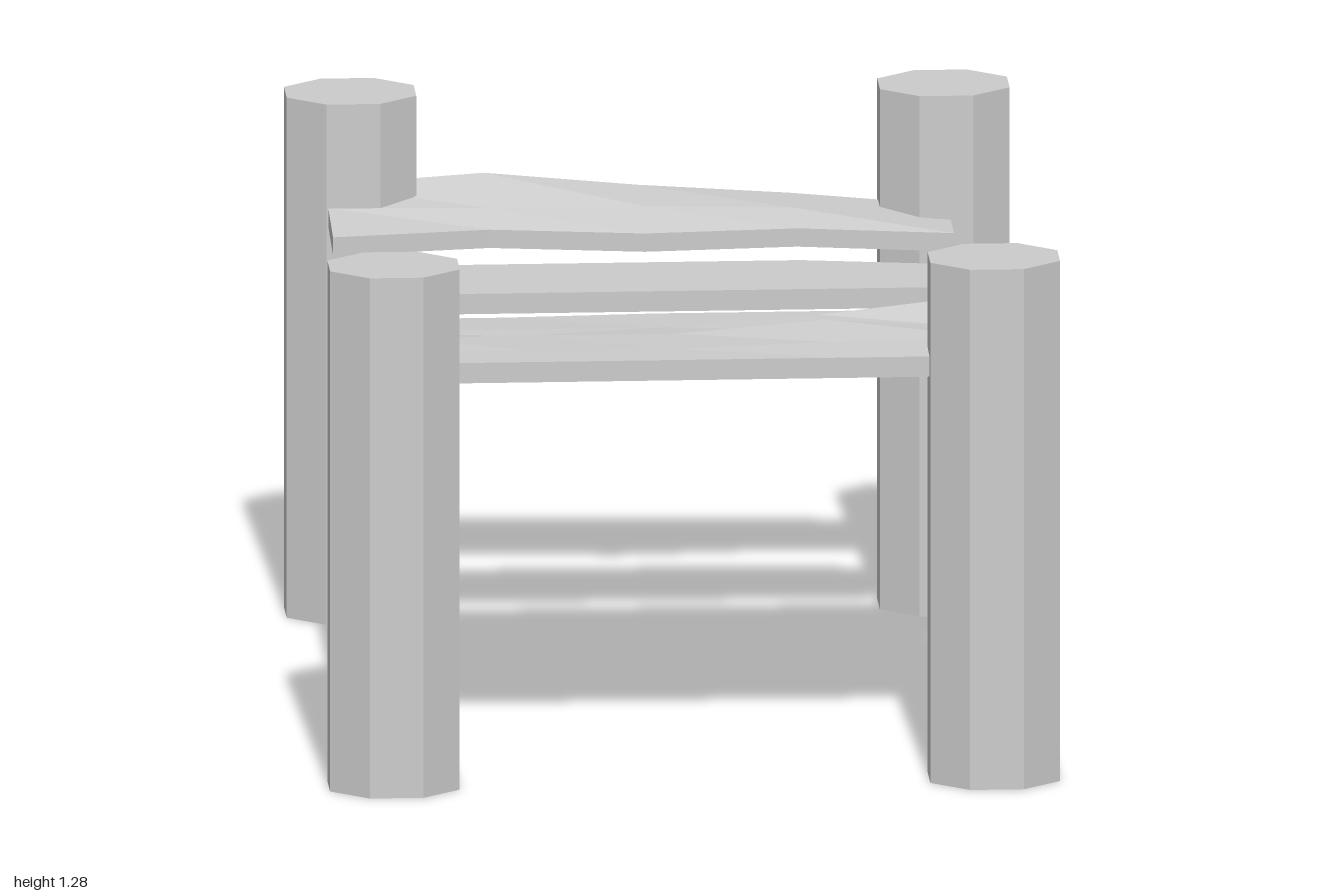
import * as THREE from 'three';

const material = new THREE.MeshStandardMaterial({ color: 0xcccccc, flatShading: true });

// A warped board: three rows (back, middle, front), each with five stations along x.
// row = [left x, right x, z values, top y values]; inset pulls in the top of the right end.
function makePlank(name, rows, thickness, inset = [0, 0, 0]) {
  const n = 5, positions = [], index = [];
  for (const under of [0, 1]) {
    rows.forEach(([x0, x1, z, y], r) => {
      const xs = [x0, -0.4, -0.03, 0.335, x1 - (under ? 0 : inset[r])];
      xs.forEach((x, i) => positions.push(x, y[i] - under * thickness, z[i]));
    });
  }
  const at = (under, r, i) => under * rows.length * n + r * n + i;
  const quad = (a, b, c, d) => index.push(a, b, c, a, c, d);
  const last = rows.length - 1;
  for (let i = 0; i < n - 1; i++) {
    for (let r = 0; r < last; r++) {
      quad(at(0, r, i), at(0, r + 1, i), at(0, r + 1, i + 1), at(0, r, i + 1));
      quad(at(1, r, i), at(1, r, i + 1), at(1, r + 1, i + 1), at(1, r + 1, i));
    }
    // long edges
    quad(at(1, last, i), at(1, last, i + 1), at(0, last, i + 1), at(0, last, i));
    quad(at(1, 0, i + 1), at(1, 0, i), at(0, 0, i), at(0, 0, i + 1));
  }
  // end faces
  for (let r = 0; r < last; r++) {
    quad(at(1, r, 0), at(1, r + 1, 0), at(0, r + 1, 0), at(0, r, 0));
    quad(at(1, r + 1, n - 1), at(1, r, n - 1), at(0, r, n - 1), at(0, r + 1, n - 1));
  }
  const indexed = new THREE.BufferGeometry();
  indexed.setAttribute('position', new THREE.Float32BufferAttribute(positions, 3));
  indexed.setIndex(index);
  const geometry = indexed.toNonIndexed();
  geometry.computeVertexNormals();
  const mesh = new THREE.Mesh(geometry, material);
  mesh.name = name;
  return mesh;
}

export function createModel() {
  const model = new THREE.Group();
  model.name = 'plankBridge';
  const same = (v) => Array(5).fill(v);

  // Octagonal posts, slightly wider in x than in z
  const height = 1.28;
  const postGeometry = new THREE.CylinderGeometry(1, 1, height, 8);
  postGeometry.rotateY(Math.PI / 8);
  postGeometry.scale(0.168, 1, 0.141);
  const posts = [
    ['backRightPost', -0.72, -0.87], ['backLeftPost', 0.70, -0.87],
    ['frontRightPost', -0.72, 0.87], ['frontLeftPost', 0.717, 0.87],
  ];
  for (const [name, x, z] of posts) {
    const post = new THREE.Mesh(postGeometry, material);
    post.name = name;
    post.position.set(x, height / 2, z);
    model.add(post);
  }

  // Planks from back to front, sagging towards the middle
  model.add(
    makePlank('backPlank', [
      [-0.78, 0.71, same(-0.89), [1.045, 1.07, 1.035, 1.01, 0.975]],
      [-0.78, 0.71, same(-0.74), [1.025, 1.02, 1.02, 1.01, 0.975]],
      [-0.78, 0.71, [-0.55, -0.645, -0.605, -0.635, -0.605], [1.0, 0.99, 0.985, 0.985, 0.975]],
    ], 0.045),
    makePlank('secondPlank', [
      [-0.72, 0.68, [-0.48, -0.48, -0.48, -0.48, -0.42], same(0.945)],
      [-0.71, 0.78, [-0.35, -0.34, -0.34, -0.34, -0.33], same(0.945)],
      [-0.78, 0.71, same(-0.19), same(0.945)],
    ], 0.05),
    makePlank('middlePlank', [
      [-0.78, 0.71, same(-0.11), [0.905, 0.905, 0.91, 0.91, 0.91]],
      [-0.78, 0.71, same(0.03), [0.91, 0.91, 0.91, 0.91, 0.91]],
      [-0.78, 0.71, [0.175, 0.175, 0.175, 0.2, 0.175], [0.905, 0.905, 0.91, 0.9, 0.905]],
    ], 0.055, [0.065, 0.065, 0]),
    makePlank('fourthPlank', [
      [-0.78, 0.655, [0.2, 0.2, 0.25, 0.25, 0.27], [0.95, 0.935, 0.965, 0.99, 1.03]],
      [-0.78, 0.71, [0.34, 0.34, 0.39, 0.39, 0.4], [0.965, 0.965, 0.975, 0.985, 0.99]],
      [-0.78, 0.69, [0.535, 0.535, 0.535, 0.52, 0.545], [0.97, 0.975, 0.98, 0.985, 0.995]],
    ], 0.068),
    makePlank('frontPlank', [
      [-0.71, 0.65, [0.64, 0.6, 0.622, 0.625, 0.63], [1.045, 1.035, 1.04, 1.07, 1.05]],
      [-0.78, 0.71, [0.74, 0.765, 0.77, 0.77, 0.74], [1.04, 1.04, 1.04, 1.05, 1.05]],
      [-0.78, 0.71, same(0.885), same(1.04)],
    ], 0.05),
  );
  return model;
}
